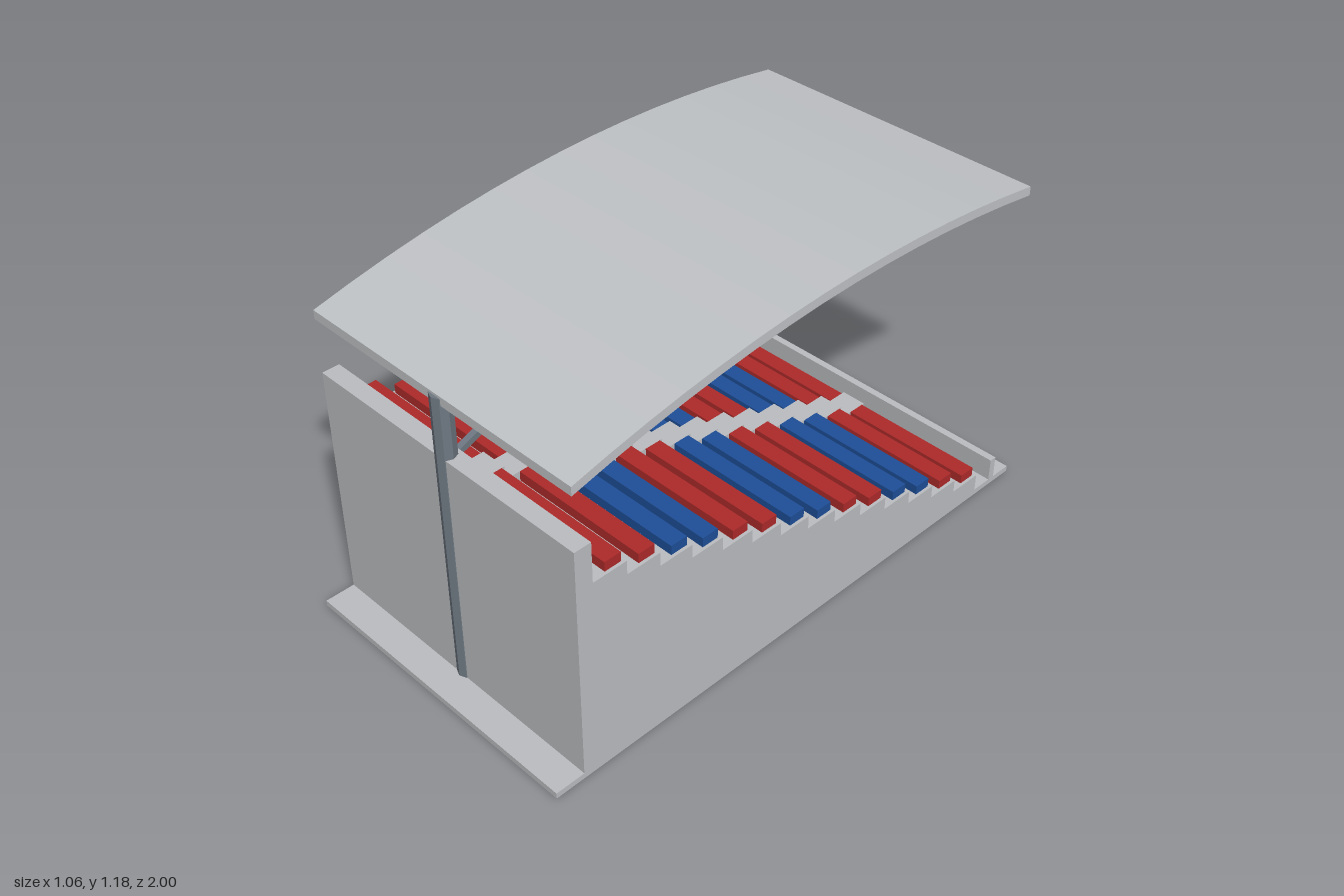
import * as THREE from 'three';

const mat = (name, color) => {
  const m = new THREE.MeshStandardMaterial({ color });
  m.name = name;
  return m;
};

export function createModel() {
  const group = new THREE.Group();
  const concrete = mat('concrete', 0xbcbdc0);
  const roofing = mat('roofing', 0xbfc2c5);
  const steel = mat('steel', 0x6e7882);
  const red = mat('red seats', 0xae2a2a);
  const blue = mat('blue seats', 0x1e4f98);
  const W = 1.06;

  const add = (name, geometry, material) => {
    const mesh = new THREE.Mesh(geometry, material);
    mesh.name = name;
    group.add(mesh);
    return mesh;
  };
  // Box given by its limits on each axis
  const box = (name, material, x0, x1, y0, y1, z0, z1) => {
    const mesh = add(name, new THREE.BoxGeometry(x1 - x0, y1 - y0, z1 - z0), material);
    mesh.position.set((x0 + x1) / 2, (y0 + y1) / 2, (z0 + z1) / 2);
    return mesh;
  };
  // Side profile of [z, y] points, extruded across the width
  const profile = (name, material, points, width) => {
    const shape = new THREE.Shape(points.map(([z, y]) => new THREE.Vector2(z, y)));
    const geometry = new THREE.ExtrudeGeometry(shape, { depth: width, bevelEnabled: false });
    geometry.translate(0, 0, -width / 2);
    geometry.rotateY(-Math.PI / 2);
    return add(name, geometry, material);
  };
  // Straight square bar in the x = 0 plane
  const bar = (name, [z0, y0], [z1, y1], size) => {
    const length = Math.hypot(z1 - z0, y1 - y0);
    const mesh = add(name, new THREE.BoxGeometry(size, size, length), steel);
    mesh.position.set(0, (y0 + y1) / 2, (z0 + z1) / 2);
    mesh.rotation.x = -Math.atan2(y1 - y0, z1 - z0);
    return mesh;
  };

  // Base slab and front barrier
  box('baseSlab', concrete, -W / 2, W / 2, 0, 0.02, -1, 1);
  box('frontBarrier', concrete, -W / 2, W / 2, 0.02, 0.1, -0.925, -0.9);

  // Stepped terrace with the back wall
  const rows = 14, pitch = 0.119, rise = 0.047;
  const treadZ = i => 0.84 - i * pitch;
  const treadY = i => 0.692 - i * rise;
  const outline = [[0.898, 0.02], [0.898, 0.83], [0.84, 0.83]];
  for (let i = 0; i < rows; i++) {
    outline.push([treadZ(i), treadY(i)], [treadZ(i + 1), treadY(i)]);
  }
  outline.push([treadZ(rows), 0.02]);
  profile('terrace', concrete, outline, W);

  // Aisle steps, and benches in alternating pairs of colours
  const aisle = 0.045;
  for (let i = 0; i < rows; i++) {
    const z = treadZ(i), y = treadY(i);
    box('aisleStep', concrete, -aisle, aisle, y, y + 0.032, z - 0.118, z - 0.006);
    const colour = Math.floor(i / 2) % 2 ? blue : red;
    for (const side of [-1, 1]) {
      const inner = side * aisle, outer = side * 0.52;
      box('bench', colour, Math.min(inner, outer), Math.max(inner, outer),
        y, y + 0.032, z - 0.108, z - 0.05);
    }
  }

  // Curved roof
  const roofTop = z => 1.183 - 0.1125 * (z + 0.22) ** 2;
  const arch = (z0, z1, top, bottom, n) => {
    const upper = [], lower = [];
    for (let i = 0; i <= n; i++) {
      const z = z0 + (z1 - z0) * i / n;
      upper.push([z, roofTop(z) - top]);
      lower.unshift([z, roofTop(z) - bottom]);
    }
    return [...upper, ...lower];
  };
  profile('roof', roofing, arch(0.897, -0.92, 0, 0.03, 14), W);
  box('roofLip', roofing, -0.51, 0.51, 1.088, 1.105, -0.915, -0.885);

  // Column and steel under the roof
  const column = add('column', new THREE.CylinderGeometry(0.032, 0.032, 1.02, 8).toNonIndexed(), steel);
  column.geometry.computeVertexNormals();
  column.position.set(0, 0.525, 0.877);
  profile('roofRib', steel, arch(0.87, -0.9, 0.028, 0.044, 14), 0.022);
  box('purlin', steel, -0.5, 0.5, 1.139, 1.154, -0.21, -0.195);
  bar('diagonalStrut', [0.855, 0.813], [0, 1.138], 0.02);

  // Small braces hanging from the rib
  for (let i = 0; i < 4; i++) {
    const z = 0.54 - i * 0.367;
    const drop = roofTop(z) - 0.07;
    bar('braceHanger', [z, roofTop(z) - 0.04], [z, drop], 0.007);
    bar('braceDiagonal', [z, drop], [z - 0.145, roofTop(z - 0.145) - 0.04], 0.007);
  }
  return group;
}
